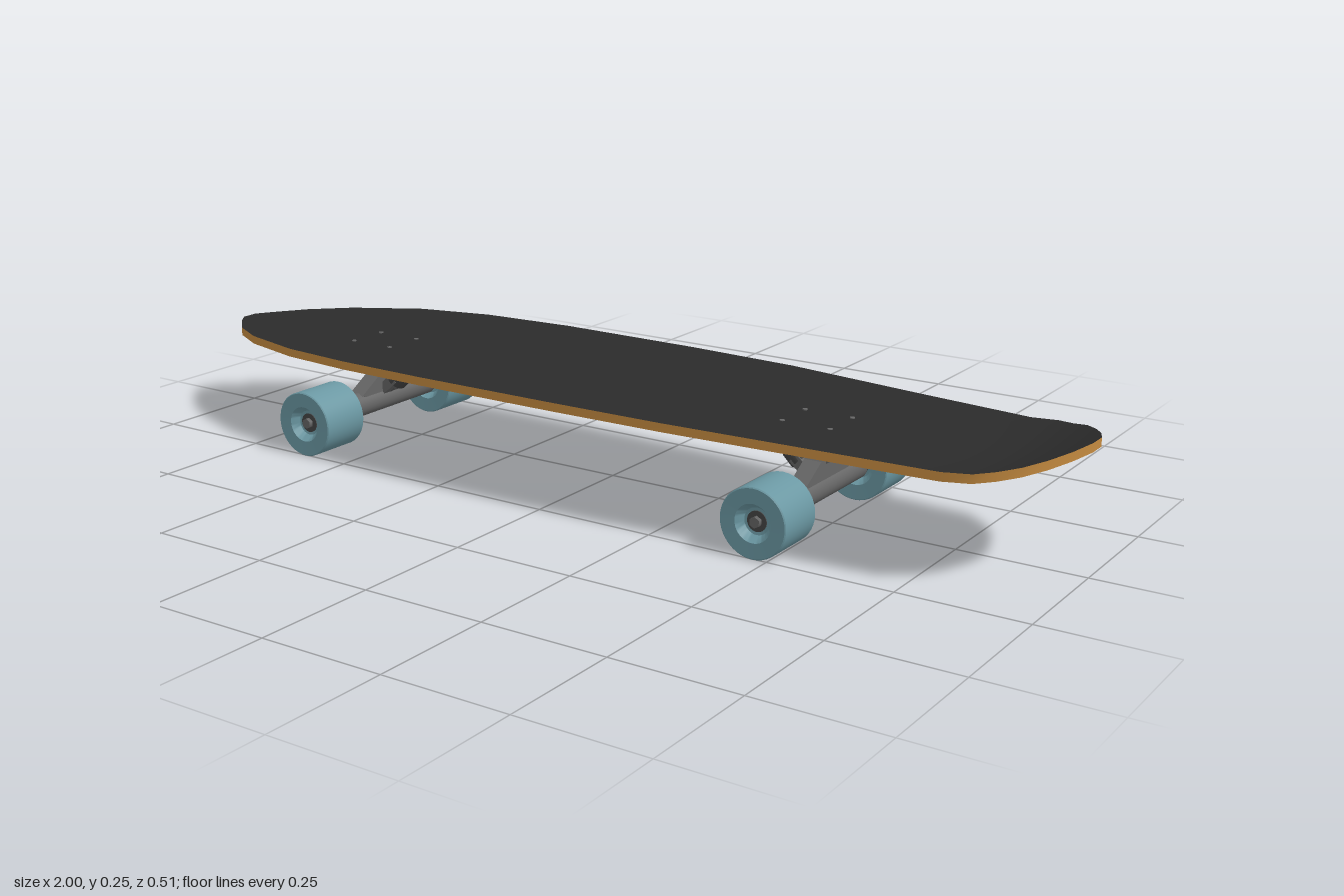
import * as THREE from 'three';
import { toCreasedNormals } from 'three/addons/utils/BufferGeometryUtils.js';

const mat = (name, color, side = THREE.FrontSide) => {
  const m = new THREE.MeshStandardMaterial({ color, side });
  m.name = name;
  return m;
};

// Outline stations: [x, half width]
const OUTLINE = [
  [-1, 0.018], [-0.975, 0.05], [-0.92, 0.105], [-0.83, 0.16], [-0.67, 0.217], [-0.5, 0.243],
  [-0.29, 0.253], [0.03, 0.251], [0.27, 0.243], [0.57, 0.215], [0.72, 0.202], [0.8, 0.195],
  [0.855, 0.19], [0.89, 0.17], [0.925, 0.148], [0.955, 0.11], [0.98, 0.066], [0.998, 0.02],
];
const THICK = 0.017;

// Deck top: raised edges plus an upturned tail
const deckY = (x, z) => 0.197 + 0.35 * z * z + 0.055 * Math.pow(Math.max(0, (x - 0.8) / 0.2), 1.8);

// Surface through rows of points
function grid(rows, flip = false) {
  const n = rows[0].length, index = [];
  for (let i = 0; i < rows.length - 1; i++) {
    for (let j = 0; j < n - 1; j++) {
      const a = i * n + j, b = a + n, c = a + 1, d = b + 1;
      index.push(...(flip ? [a, b, c, c, b, d] : [a, c, b, c, d, b]));
    }
  }
  const g = new THREE.BufferGeometry();
  g.setAttribute('position', new THREE.Float32BufferAttribute(rows.flat(2), 3));
  g.setIndex(index);
  g.computeVertexNormals();
  return g;
}

function add(parent, name, geometry, material, x = 0, y = 0, z = 0) {
  const m = new THREE.Mesh(geometry, material);
  m.name = name;
  m.position.set(x, y, z);
  parent.add(m);
  return m;
}

// Part lying along a line in the x-y plane
function along(mesh, x0, y0, x1, y1) {
  mesh.position.set((x0 + x1) / 2, (y0 + y1) / 2, 0);
  mesh.rotation.z = Math.atan2(y1 - y0, x1 - x0) - Math.PI / 2;
  return mesh;
}

function createDeck(grip, wood) {
  const deck = new THREE.Group();
  deck.name = 'deck';
  const face = (drop) => OUTLINE.map(([x, w]) => Array.from({ length: 13 }, (_, j) => {
    const z = w * (j / 6 - 1);
    return [x, deckY(x, z) - drop, z];
  }));
  add(deck, 'gripSurface', grid(face(0)), grip);
  add(deck, 'underside', grid(face(THICK), true), wood);
  const rim = [...OUTLINE, ...[...OUTLINE].reverse().map(([x, w]) => [x, -w]), OUTLINE[0]];
  add(deck, 'edge', grid(rim.map(([x, z]) => [
    [x, deckY(x, z), z], [x, deckY(x, z) - THICK, z],
  ])), wood);
  return deck;
}

function createWheel(urethane, metal, dark) {
  const wheel = new THREE.Group();
  wheel.name = 'wheel';
  const half = [[0.014, -0.036], [0.026, -0.038], [0.037, -0.054], [0.066, -0.055], [0.068, -0.053]];
  const profile = [...half, ...[...half].reverse().map(([r, y]) => [r, -y])]
    .map(([r, y]) => new THREE.Vector2(r, y));
  const tyre = toCreasedNormals(new THREE.LatheGeometry(profile, 40), 0.6).rotateX(Math.PI / 2);
  add(wheel, 'tyre', tyre, urethane);
  add(wheel, 'bearing', new THREE.CylinderGeometry(0.02, 0.02, 0.078, 20).rotateX(Math.PI / 2), dark);
  add(wheel, 'axleNut', new THREE.CylinderGeometry(0.011, 0.011, 0.096, 6).rotateX(Math.PI / 2), metal);
  return wheel;
}

// Truck with its axle at x = 0; the middle of the board lies towards +x
function createTruck(urethane, metal, dark) {
  const truck = new THREE.Group();
  truck.name = 'truck';
  add(truck, 'basePlate', new THREE.BoxGeometry(0.17, 0.012, 0.122), metal, 0.032, 0.176);
  add(truck, 'axleTube', new THREE.CylinderGeometry(0.026, 0.026, 0.286, 28).rotateX(Math.PI / 2), metal, 0, 0.071);

  // Triangular hanger above the axle
  const shape = new THREE.Shape([[-0.088, 0.094], [-0.06, 0.08], [0.06, 0.08], [0.088, 0.094],
    [0.032, 0.128], [0.022, 0.14], [-0.022, 0.14], [-0.032, 0.128]].map(([x, y]) => new THREE.Vector2(x, y)));
  const hanger = new THREE.ExtrudeGeometry(shape, { depth: 0.036, bevelEnabled: false });
  hanger.translate(0, 0, -0.018).rotateY(Math.PI / 2);
  add(truck, 'hanger', hanger, metal);

  // Outer pivot post and inner sloping kingpin
  along(add(truck, 'pivotPost', new THREE.BoxGeometry(0.026, 0.075, 0.028), metal), -0.038, 0.175, -0.002, 0.118);
  along(add(truck, 'kingpinHousing', new THREE.CylinderGeometry(0.022, 0.018, 0.06, 16), metal), 0.06, 0.135, 0.097, 0.172);
  along(add(truck, 'bushing', new THREE.CylinderGeometry(0.024, 0.024, 0.03, 18), dark), 0.037, 0.112, 0.062, 0.137);
  along(add(truck, 'kingpin', new THREE.CylinderGeometry(0.009, 0.009, 0.12, 12), dark), 0, 0.075, 0.085, 0.16);
  along(add(truck, 'hangerNeck', new THREE.BoxGeometry(0.022, 0.06, 0.046), metal), 0.005, 0.085, 0.045, 0.12);
  for (const s of [-1, 1]) {
    along(add(truck, 'plateRib', new THREE.BoxGeometry(0.014, 0.055, 0.008), metal), 0.075, 0.14, 0.115, 0.174).position.z = s * 0.022;
  }

  // Mounting bolts and lock nuts
  for (const x of [-0.04, 0.06]) {
    for (const z of [-0.044, 0.044]) {
      add(truck, 'boltHead', new THREE.CylinderGeometry(0.005, 0.005, 0.004, 12), metal, x, 0.1975, z);
      add(truck, 'lockNut', new THREE.CylinderGeometry(0.009, 0.009, 0.009, 6), dark, x, 0.166, z);
      add(truck, 'boltEnd', new THREE.CylinderGeometry(0.004, 0.004, 0.018, 8), metal, x, 0.168, z);
    }
  }

  for (const s of [-1, 1]) {
    const wheel = createWheel(urethane, metal, dark);
    wheel.position.set(0, 0.0685, s * 0.197);
    truck.add(wheel);
  }
  return truck;
}

export function createModel() {
  const model = new THREE.Group();
  model.name = 'skateboard';
  const grip = mat('blackGrip', 0x2b2b2b);
  const wood = mat('mapleWood', 0xc58b40);
  const urethane = mat('blueUrethane', 0x6b98a3);
  const metal = mat('greyMetal', 0x666666);
  const dark = mat('darkMetal', 0x444444);

  model.add(createDeck(grip, wood));
  const noseTruck = createTruck(urethane, metal, dark);
  noseTruck.name = 'noseTruck';
  noseTruck.position.set(-0.603, 0, 0.0025);
  const tailTruck = createTruck(urethane, metal, dark);
  tailTruck.name = 'tailTruck';
  tailTruck.position.set(0.472, 0, 0.0025);
  tailTruck.rotation.y = Math.PI;
  model.add(noseTruck, tailTruck);
  return model;
}
